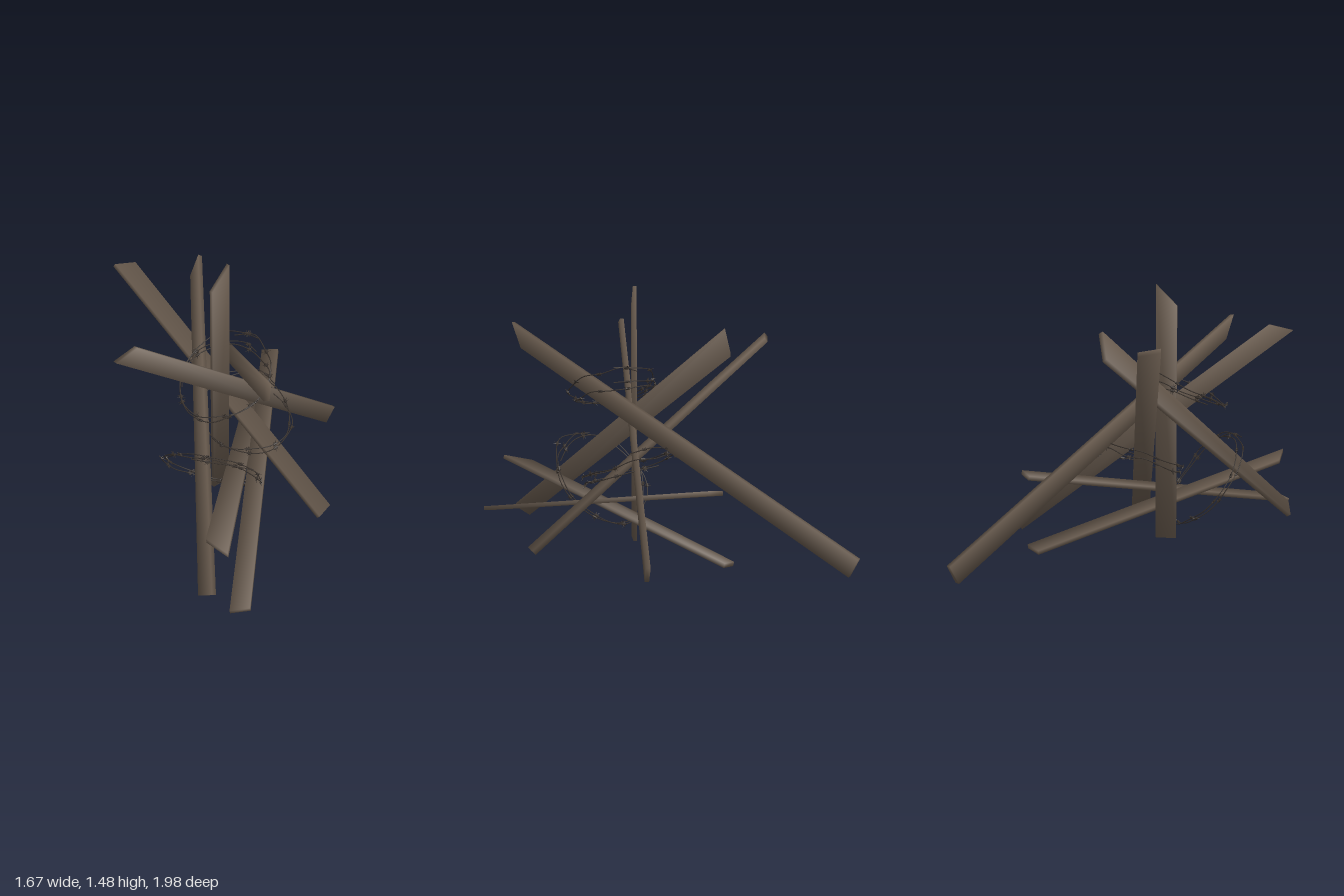
import * as THREE from 'three';

const wood = new THREE.MeshStandardMaterial({ name: 'weathered wood', color: 0x6b5d50 });
const iron = new THREE.MeshStandardMaterial({ name: 'dark wire', color: 0x3a332e });
const V = (p) => new THREE.Vector3(...p);

// Plank from the two long edges of its middle plane: each edge runs foot -> head.
// Its eight corners share normals, so the shading rolls softly over the edges.
function plank(name, [a0, a1], [b0, b1], thickness) {
  const [A0, A1, B0, B1] = [a0, a1, b0, b1].map(V);
  const along = A1.clone().sub(A0).normalize();
  const across = B0.clone().sub(A0).normalize();
  const n = along.clone().cross(across).normalize();
  const positions = [], normals = [];
  for (const face of [-1, 1]) {
    [[A0, -1, -1], [A1, 1, -1], [B1, 1, 1], [B0, -1, 1]].forEach(([p, end, side]) => {
      positions.push(...p.clone().addScaledVector(n, face * thickness / 2).toArray());
      const normal = n.clone().multiplyScalar(face);
      normal.addScaledVector(along, end).addScaledVector(across, side).normalize();
      normals.push(...normal.toArray());
    });
  }
  // Two broad faces, then the four narrow sides
  const index = [4, 5, 6, 4, 6, 7, 0, 2, 1, 0, 3, 2];
  for (let i = 0; i < 4; i++) {
    const j = (i + 1) % 4;
    index.push(i, j, j + 4, i, j + 4, i + 4);
  }
  const geometry = new THREE.BufferGeometry();
  geometry.setAttribute('position', new THREE.Float32BufferAttribute(positions, 3));
  geometry.setAttribute('normal', new THREE.Float32BufferAttribute(normals, 3));
  geometry.setIndex(index);
  const mesh = new THREE.Mesh(geometry, wood);
  mesh.name = name;
  return mesh;
}

// Small seeded generator for the bends of the wire
function seeded(seed) {
  let s = seed;
  return () => (s = (s * 16807) % 2147483647) / 2147483647;
}

// Barbed wire: elliptical coil on axes u and v, drifting over its turns
function coil(name, start, end, u, v, turns, seed) {
  const group = new THREE.Group();
  group.name = name;
  const rnd = seeded(seed);
  const from = V(start), to = V(end), U = V(u), W = V(v);
  const count = Math.round(turns * 14);
  const points = [];
  for (let i = 0; i <= count; i++) {
    const a = (i / count) * turns * Math.PI * 2;
    const r = 0.94 + rnd() * 0.1;
    const p = from.clone().lerp(to, i / count);
    p.addScaledVector(U, Math.cos(a) * r).addScaledVector(W, Math.sin(a) * r);
    p.y += (rnd() - 0.5) * 0.025;
    points.push(p);
  }
  const curve = new THREE.CatmullRomCurve3(points);
  const strand = new THREE.Mesh(new THREE.TubeGeometry(curve, count * 5, 0.003, 5), iron);
  strand.name = 'wireStrand';
  group.add(strand);

  // Barbs: a short knot with two crossing spikes
  const knot = new THREE.CylinderGeometry(0.007, 0.007, 0.024, 6);
  const spike = new THREE.OctahedronGeometry(1).scale(0.004, 0.025, 0.004);
  const up = new THREE.Vector3(0, 1, 0);
  const barbs = Math.round(turns * 10);
  for (let i = 0; i < barbs; i++) {
    const t = (i + 0.5) / barbs;
    const barb = new THREE.Group();
    barb.name = 'barb';
    barb.position.copy(curve.getPointAt(t));
    barb.quaternion.setFromUnitVectors(up, curve.getTangentAt(t));
    barb.rotateY(rnd() * 6);
    barb.add(new THREE.Mesh(knot, iron));
    for (const side of [-1, 1]) {
      const s = new THREE.Mesh(spike, iron);
      s.rotation.set(side * 0.9, 0, side * 0.9);
      barb.add(s);
    }
    group.add(barb);
  }
  return group;
}

export function createModel() {
  const model = new THREE.Group();
  model.name = 'plankBarricade';

  model.add(
    // Upright and leaning planks
    plank('uprightPlank',
      [[-0.18, 0.01, 0.09], [-0.18, 1.37, 0.09]],
      [[-0.06, 0.01, 0.09], [-0.06, 1.49, 0.09]], 0.022),
    plank('frontDiagonalPlank',
      [[0.76, 0.01, 0.11], [-0.835, 1.24, 0.11]],
      [[0.83, 0.1, 0.11], [-0.7, 1.27, 0.11]], 0.024),
    plank('longDiagonalPlank',
      [[0.79, 0.01, -0.945], [-0.38, 1.12, 0.73]],
      [[0.82, 0.11, -0.985], [-0.42, 1.27, 0.78]], 0.03),
    plank('leftwardLeaningPlank',
      [[-0.805, 0.015, 0.7], [0.125, 1.11, -0.43]],
      [[-0.785, 0.08, 0.79], [0.155, 1.255, -0.39]], 0.028),
    plank('backLeaningPlank',
      [[0.09, 0.02, 0.705], [-0.225, 1.2, -0.705]],
      [[0.2, 0.025, 0.68], [-0.1, 1.175, -0.68]], 0.028),
    // Low crossing planks
    plank('lowPlankFallingRight',
      [[0.6, 0.035, -0.32], [-0.75, 0.4, 0.86]],
      [[0.52, 0.02, -0.385], [-0.74, 0.365, 0.68]], 0.025),
    plank('lowPlankRisingRight',
      [[-0.79, 0.06, 0.92], [0.59, 0.425, -0.31]],
      [[-0.71, 0.078, 0.99], [0.655, 0.44, -0.23]], 0.025),
    // Wire tangled around the crossing
    coil('upperTiltedWire', [-0.2, 0.92, 0.22], [-0.2, 0.9, 0.22],
      [0.26, 0.13, 0], [0, 0.03, -0.25], 1.1, 11),
    coil('upperFlatWire', [-0.2, 0.88, 0.2], [-0.18, 0.84, 0.2],
      [0.25, 0.07, 0.02], [0.02, 0.05, -0.24], 1.4, 29),
    coil('middleWireCoil', [0.03, 0.52, 0.13], [0.05, 0.43, 0.13],
      [0.24, 0.06, 0.02], [0, 0.07, -0.27], 2.1, 37),
    coil('lowerWireCoil', [-0.36, 0.35, 0.28], [-0.3, 0.33, 0.25],
      [-0.19, 0.24, 0.05], [0.11, 0.06, 0.26], 2.2, 73),
  );
  return model;
}
